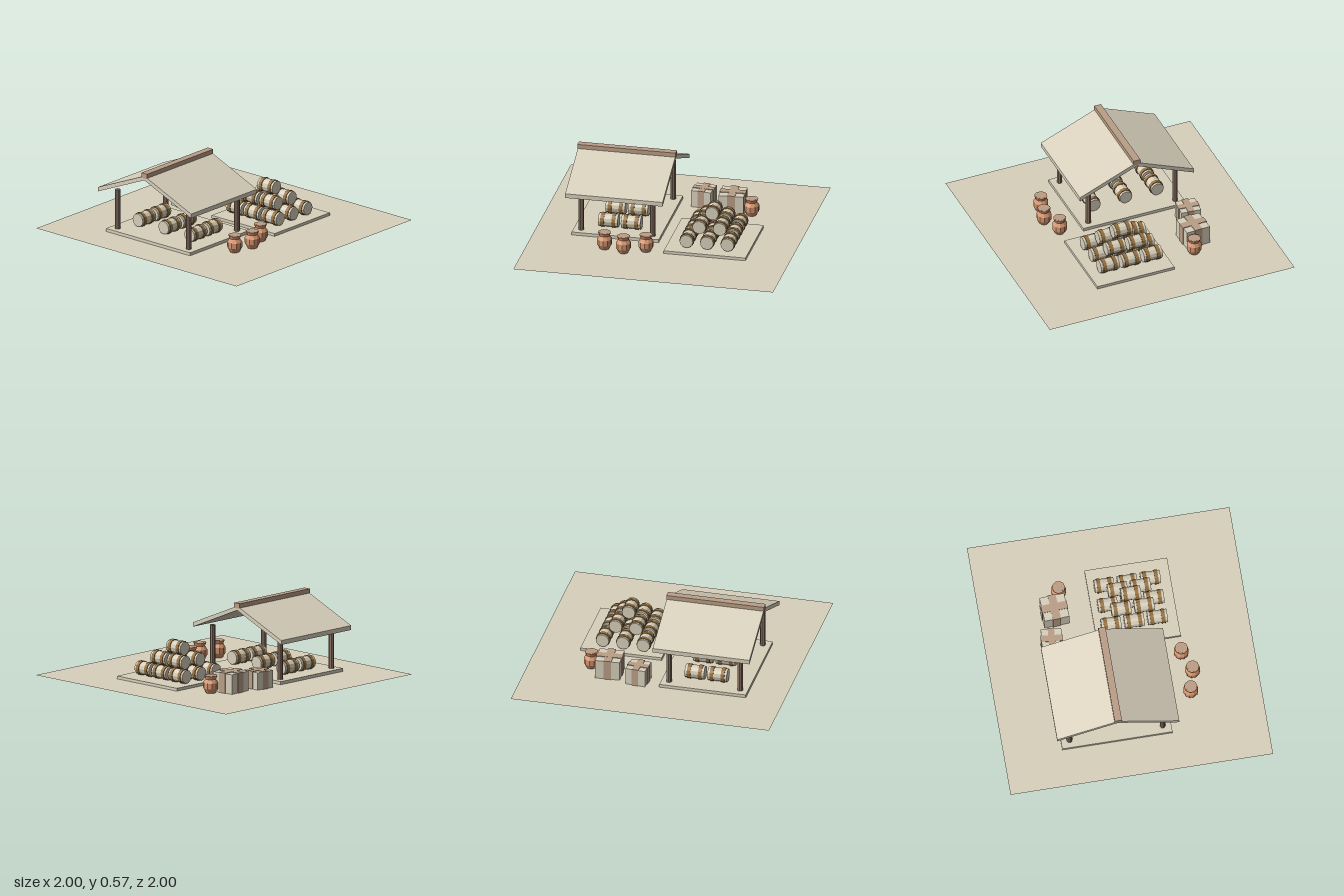
import * as THREE from 'three';

const mat = (name, color, extra = {}) => {
  const m = new THREE.MeshStandardMaterial({ color, flatShading: true, ...extra });
  m.name = name;
  return m;
};

export function createModel() {
  const root = new THREE.Group();
  root.name = 'marketYard';
  const cream = mat('cream', 0xd8d0bc);
  const sand = mat('sand', 0xd8d0bc, { side: THREE.DoubleSide });
  const tan = mat('tan', 0xba9e86);
  const wood = mat('wood', 0x8e7464);
  const brass = mat('brass', 0x96713f);
  const clay = mat('clay', 0xd6966f);

  const add = (parent, name, geo, material, x = 0, y = 0, z = 0) => {
    const m = new THREE.Mesh(geo, material);
    m.name = name;
    m.position.set(x, y, z);
    parent.add(m);
    return m;
  };
  const group = (name, x = 0, y = 0, z = 0, parent = root) => {
    const g = new THREE.Group();
    g.name = name;
    g.position.set(x, y, z);
    parent.add(g);
    return g;
  };
  const box = (w, h, d) => new THREE.BoxGeometry(w, h, d);

  // Ground sheet
  add(root, 'ground', new THREE.PlaneGeometry(2, 2).rotateX(-Math.PI / 2), sand, 0, 0.004, 0);

  // Open shelter: floor, four posts, pitched roof and ridge beam
  const shelter = group('shelter', -0.375, 0, -0.138);
  add(shelter, 'shelterFloor', box(0.67, 0.024, 0.84), cream, 0, 0.017, 0);
  const postGeo = new THREE.CylinderGeometry(0.021, 0.021, 0.314, 8);
  for (const x of [-0.275, 0.275])
    for (const z of [-0.355, 0.355]) add(shelter, 'post', postGeo, wood, x, 0.184, z);

  const roofShape = new THREE.Shape([
    [-0.465, 0.324], [0, 0.52], [0.465, 0.324], [0.465, 0.358], [0, 0.553], [-0.465, 0.358],
  ].map(p => new THREE.Vector2(...p)));
  const roofGeo = new THREE.ExtrudeGeometry(roofShape, { depth: 0.75, bevelEnabled: false });
  roofGeo.translate(0, 0, -0.375).rotateY(Math.PI / 2);
  add(shelter, 'roof', roofGeo, cream);
  add(shelter, 'ridgeBeam', box(0.756, 0.04, 0.055), tan, 0, 0.555, 0);

  // Barrels lie along z, with two hoops each
  const barrelGeo = new THREE.CylinderGeometry(0.051, 0.051, 0.15, 12).rotateX(Math.PI / 2);
  const hoopGeo = new THREE.CylinderGeometry(0.056, 0.056, 0.028, 12).rotateX(Math.PI / 2);
  const barrel = (x, y, z, turn = 0) => {
    const g = group('barrel', x, y, z);
    g.rotation.y = turn;
    add(g, 'barrelBody', barrelGeo, cream);
    for (const s of [-1, 1]) add(g, 'barrelHoop', hoopGeo, brass, 0, 0, s * 0.043);
  };

  // Barrel rows under the shelter
  for (const x of [-0.458, -0.282])
    for (const z of [0.12, -0.138, -0.395]) barrel(x, 0.084, z, Math.PI / 2);

  // Barrel pyramid on its platform
  add(root, 'stackPlatform', box(0.63, 0.022, 0.63), cream, 0.355, 0.016, 0.155);
  for (let layer = 0; layer < 3; layer++) {
    const n = 3 - layer;
    for (let i = 0; i < n; i++)
      for (let j = 0; j < n; j++)
        barrel(0.354 + (i - (n - 1) / 2) * 0.158, 0.083 + layer * 0.084, 0.14 + (j - (n - 1) / 2) * 0.176);
  }

  // Clay jars with flat lids
  const jarGeo = new THREE.LatheGeometry([
    [0, 0.005], [0.036, 0.005], [0.057, 0.042], [0.057, 0.085], [0.04, 0.112],
    [0.05, 0.138], [0.041, 0.138],
  ].map(p => new THREE.Vector2(...p)), 10);
  const lidGeo = new THREE.CylinderGeometry(0.041, 0.041, 0.008, 10);
  for (const [x, z] of [[-0.415, 0.47], [-0.26, 0.51], [-0.1, 0.45], [0.53, -0.38]]) {
    const jar = group('jar', x, 0, z);
    add(jar, 'jarBody', jarGeo, clay);
    add(jar, 'jarLid', lidGeo, tan, 0, 0.135, 0);
  }

  // Wrapped bales with crossed straps
  for (const [x, z, size, h, strap, turn] of [
    [0.136, -0.498, 0.155, 0.132, 0.05, -0.09],
    [0.373, -0.438, 0.19, 0.15, 0.06, 0.05],
  ]) {
    const bale = group('bale', x, 0.005 + h / 2, z);
    bale.rotation.y = turn;
    add(bale, 'baleBody', box(size, h, size), cream);
    add(bale, 'baleStrap', box(size + 0.01, h + 0.01, strap), tan);
    add(bale, 'baleStrap', box(strap, h + 0.009, size + 0.01), tan);
  }
  return root;
}
